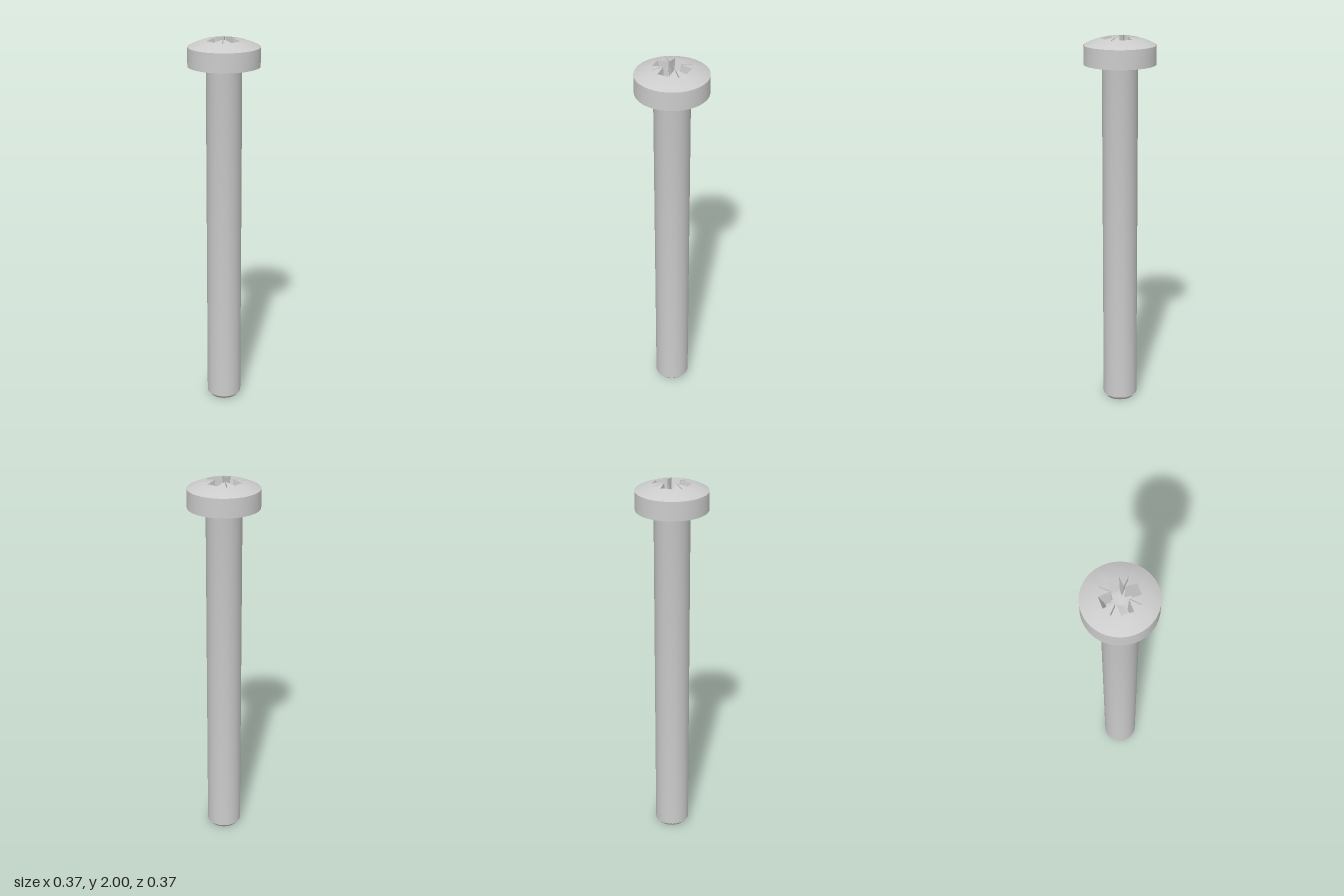
import * as THREE from 'three';
import { toCreasedNormals } from 'three/addons/utils/BufferGeometryUtils.js';

const SIDES = 36;
const HEAD_R = 0.185, HEAD_BOTTOM = 1.859;
const FLOOR_Y = 1.9, TIP_Y = 1.885, CORE_R = 0.041;
const domeY = r => 2.003 + Math.sqrt(0.395 ** 2 - r * r) - 0.395;
const at = (x, z, y) => new THREE.Vector3(x, y, z);

// Skins a list of closed rings that share the same number of points
function loft(rings) {
  const out = [];
  const tri = (a, b, c) => {
    if (a.distanceTo(b) * b.distanceTo(c) * c.distanceTo(a) > 1e-12) {
      for (const p of [a, b, c]) out.push(p.x, p.y, p.z);
    }
  };
  for (let k = 0; k + 1 < rings.length; k++) {
    for (let i = 0; i < SIDES; i++) {
      const j = (i + 1) % SIDES;
      tri(rings[k][i], rings[k + 1][i], rings[k][j]);
      tri(rings[k][j], rings[k + 1][i], rings[k + 1][j]);
    }
  }
  const g = new THREE.BufferGeometry();
  g.setAttribute('position', new THREE.Float32BufferAttribute(out, 3));
  return toCreasedNormals(g, 0.4);
}

const circle = (r, y) => Array.from({ length: SIDES }, (_, i) => {
  const a = ((i - 2) / SIDES) * Math.PI * 2;
  return at(r * Math.cos(a), r * Math.sin(a), y);
});

// Repeats a quarter of the cross recess (one arm, one diagonal groove) four times
function fourfold(quarter) {
  const ring = [];
  for (let q = 0; q < 4; q++) {
    for (const p of quarter) {
      ring.push(p.clone().applyAxisAngle(new THREE.Vector3(0, 1, 0), -q * Math.PI / 2));
    }
  }
  return ring;
}

function recessRings() {
  const steps = [-1, -0.5, 0, 0.5, 1];
  // Rim on the dome: arm end, corner, groove end, corner
  const rim = [
    ...steps.map(s => at(0.093, 0.03 * s, 0)),
    at(0.034, 0.03, 0), at(0.0745, 0.0705, 0), at(0.0705, 0.0745, 0), at(0.03, 0.034, 0),
  ];
  rim.forEach(p => { p.y = domeY(Math.hypot(p.x, p.z)); });
  // Recess floor, with tapered arms
  const floor = [
    ...steps.map(s => at(0.062, 0.023 * s, FLOOR_Y)),
    at(0.035, 0.023, FLOOR_Y), at(0.031, 0.029, FLOOR_Y),
    at(0.029, 0.031, FLOOR_Y), at(0.023, 0.035, FLOOR_Y),
  ];
  // Break in the grooves: steep end above, long ramp below
  const middle = rim.map((p, i) => p.clone().lerp(floor[i], 0.3));
  middle[6] = at(0.068, 0.064, 1.965);
  middle[7] = at(0.064, 0.068, 1.965);
  const core = floor.map(p => {
    const s = Math.min(1, CORE_R / Math.hypot(p.x, p.z));
    return at(p.x * s, p.z * s, FLOOR_Y);
  });
  return [rim, middle, floor, core].map(fourfold);
}

function headGeometry() {
  const recess = recessRings();
  const edge = circle(HEAD_R, domeY(HEAD_R));
  const dome = [];
  for (let k = 0; k < 6; k++) {
    dome.push(edge.map((p, i) => {
      const v = p.clone().lerp(recess[0][i], k / 6);
      v.y = domeY(Math.hypot(v.x, v.z));
      return v;
    }));
  }
  return loft([
    circle(0.09, HEAD_BOTTOM), circle(HEAD_R, HEAD_BOTTOM),
    ...dome, ...recess, circle(0, TIP_Y),
  ]);
}

// Plain shank with a chamfered tip and a small fillet under the head
function shankGeometry() {
  const profile = [
    [0, 0], [0.077, 0], [0.092, 0.018], [0.092, 1.848],
    [0.0935, 1.854], [0.096, 1.857], [0.1, HEAD_BOTTOM],
  ].map(([r, y]) => new THREE.Vector2(r, y));
  return toCreasedNormals(new THREE.LatheGeometry(profile, SIDES), 0.5);
}

export function createModel() {
  const group = new THREE.Group();
  group.name = 'screw';
  const material = new THREE.MeshStandardMaterial({ color: 0xcccccc });
  const add = (name, geometry) => {
    const mesh = new THREE.Mesh(geometry, material);
    mesh.name = name;
    group.add(mesh);
  };
  add('shank', shankGeometry());
  add('head', headGeometry());
  return group;
}
